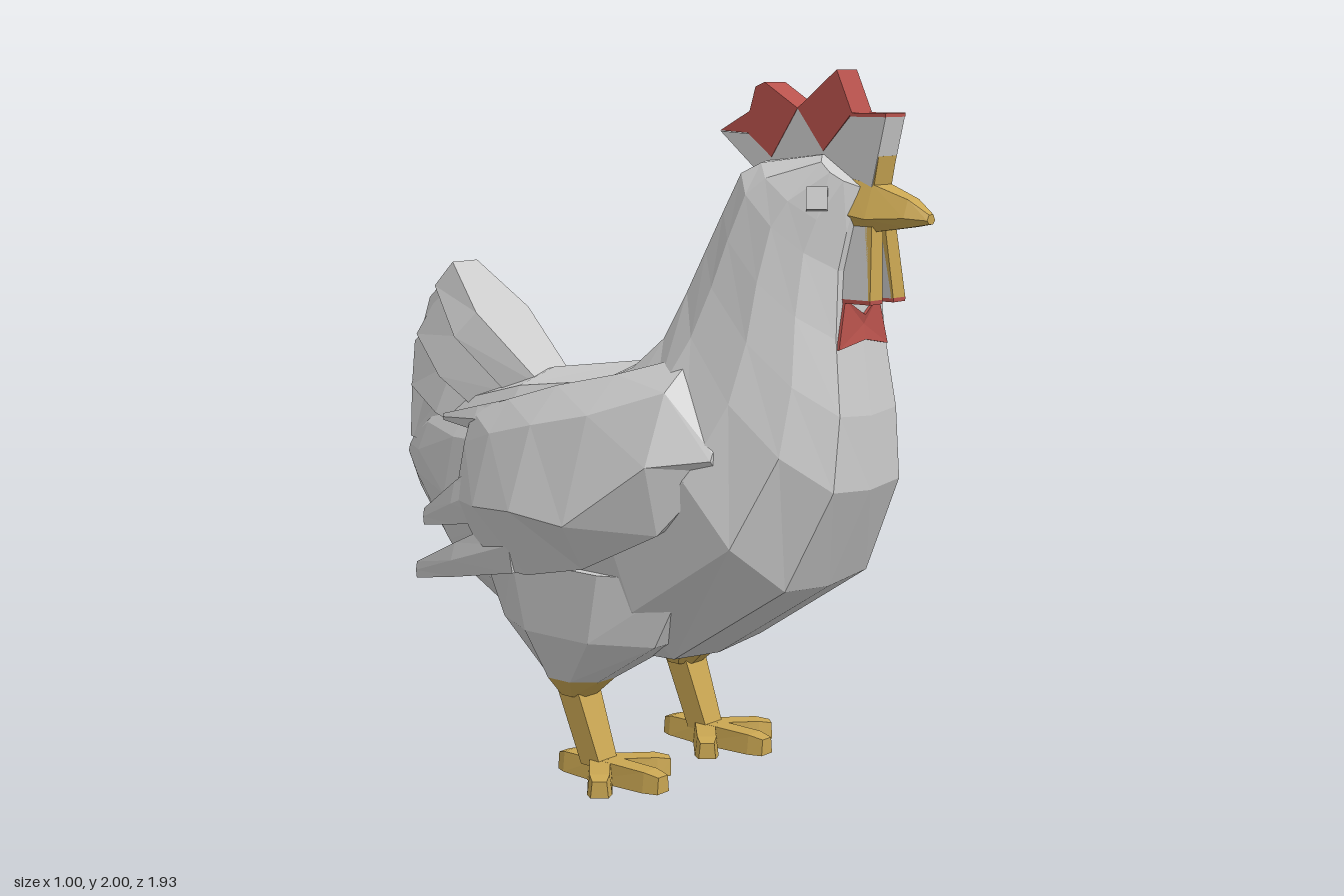
import * as THREE from 'three';

const GREY = 0xcccccc, GOLD = 0xc9a652, RED = 0xb8524c;
const mat = (color) => new THREE.MeshStandardMaterial({ color, flatShading: true, side: THREE.DoubleSide });

function addMesh(parent, name, geo, color) {
  const mesh = new THREE.Mesh(geo, mat(color));
  mesh.name = name;
  parent.add(mesh);
  return mesh;
}

// Closed, capped skin through rings of [x, y, z] points, always wound outwards
function loft(rings) {
  const n = rings[0].length, pos = rings.flat(2), tris = [];
  rings.slice(1).forEach((_, r) => {
    for (let i = 0; i < n; i++) {
      const a = r * n + i, b = r * n + (i + 1) % n;
      tris.push([a, b, a + n], [b, b + n, a + n]);
    }
  });
  [0, rings.length - 1].forEach((r, end) => {
    const c = pos.length / 3;
    for (let k = 0; k < 3; k++) pos.push(rings[r].reduce((s, p) => s + p[k], 0) / n);
    for (let i = 0; i < n; i++) {
      const a = r * n + i, b = r * n + (i + 1) % n;
      tris.push(end ? [a, b, c] : [b, a, c]);
    }
  });
  const v = (i) => new THREE.Vector3().fromArray(pos, i * 3);
  const volume = tris.reduce((s, [a, b, c]) => s + v(a).dot(v(b).cross(v(c))), 0);
  if (volume < 0) tris.forEach((t) => t.reverse());
  const geo = new THREE.BufferGeometry();
  geo.setAttribute('position', new THREE.Float32BufferAttribute(pos, 3));
  geo.setIndex(tris.flat());
  const flat = geo.toNonIndexed();
  flat.computeVertexNormals();
  return flat;
}

// Slab with a [z, y] outline, centred on x = 0
function slab(outline, width) {
  const shape = new THREE.Shape(outline.map(([z, y]) => new THREE.Vector2(z, y)));
  return new THREE.ExtrudeGeometry(shape, { depth: width, bevelEnabled: false })
    .translate(0, 0, -width / 2).rotateY(-Math.PI / 2);
}

const flip = (rings, s) => rings.map((r) => r.map(([x, y, z]) => [x * s, y, z]));
const rect = (x0, x1, z0, z1, y) => [[x0, y, z0], [x1, y, z0], [x1, y, z1], [x0, y, z1]];
const oval = (cx, y, cz, rx, rz) => Array.from({ length: 8 }, (_, i) => {
  const a = (i + 0.5) * Math.PI / 4;
  return [cx + rx * Math.cos(a), y, cz + rz * Math.sin(a)];
});

// Body, neck and head: each ring spans a back point and a belly point
function bodyRing([tz, ty, bz, by, w]) {
  const half = [[0.02, 0.5], [0.2, 0.86], [0.45, 1], [0.75, 0.86], [0.95, 0.48]];
  const pt = (u, x) => [x * w, by + (ty - by) * u, bz + (tz - bz) * u];
  return [pt(0, 0), ...half.map(([u, x]) => pt(u, x)), pt(1, 0),
    ...half.slice().reverse().map(([u, x]) => pt(u, -x))];
}

function addTail(g) {
  // base z, y; tip z, y; half thickness; middle and tip half widths
  const feathers = [
    [-0.36, 1.04, -0.755, 1.385, 0.05, 0.14, 0.065],
    [-0.42, 0.98, -0.83, 1.255, 0.075, 0.13, 0.065],
    [-0.45, 0.95, -0.875, 1.11, 0.085, 0.12, 0.06],
    [-0.5, 0.9, -0.905, 0.96, 0.09, 0.105, 0.05],
  ];
  for (const [bz, by, tz, ty, t, wm, wt] of feathers) {
    const len = Math.hypot(tz - bz, ty - by), nz = (ty - by) / len, ny = -(tz - bz) / len;
    const section = (f, w) => [[-1, -1], [-0.8, 1], [0.8, 1], [1, -1]].map(([x, s]) =>
      [x * w, by + (ty - by) * f + ny * t * s, bz + (tz - bz) * f + nz * t * s]);
    addMesh(g, 'tailFeather', loft([section(0, 0.09), section(0.6, wm), section(1, wt)]), GREY);
  }
  // Core that closes the gaps of the fan
  addMesh(g, 'tailCore', slab([[-0.4, 1.0], [-0.74, 1.37], [-0.785, 1.34], [-0.82, 1.31], [-0.865, 1.19],
    [-0.89, 1.17], [-0.905, 1.04], [-0.915, 0.87], [-0.6, 0.8]], 0.11), GREY);
}

function addWing(g, s) {
  // z; then x, y for upper edge, shoulder, ridge and lower edge
  const rows = [
    [0.52, 0.3, 1.02, 0.33, 1.01, 0.34, 0.99, 0.31, 0.96],
    [0.38, 0.24, 1.25, 0.36, 1.16, 0.44, 0.97, 0.39, 0.78],
    [0.14, 0.28, 1.18, 0.4, 1.08, 0.5, 0.79, 0.42, 0.66],
    [-0.08, 0.28, 1.13, 0.39, 1.03, 0.48, 0.8, 0.41, 0.61],
    [-0.28, 0.27, 1.07, 0.35, 0.98, 0.42, 0.78, 0.36, 0.6],
    [-0.44, 0.255, 1.02, 0.29, 0.93, 0.33, 0.77, 0.29, 0.73],
  ];
  const rings = rows.map(([z, ax, ay, bx, by, cx, cy, dx, dy]) =>
    [[ax, ay, z], [bx, by, z], [cx, cy, z], [dx, dy, z], [dx - 0.12, dy + 0.03, z], [ax - 0.06, ay - 0.03, z]]);
  addMesh(g, 'wing', loft(flip(rings, s)), GREY);

  // root z, x, top and bottom y; tip z, x, top and bottom y
  const feathers = [
    [-0.2, 0.285, 1.09, 0.95, -0.58, 0.24, 0.995, 0.975],
    [-0.2, 0.4, 0.96, 0.74, -0.66, 0.25, 0.7, 0.65],
    [-0.14, 0.42, 0.77, 0.605, -0.7, 0.245, 0.53, 0.48],
  ];
  for (const [z0, x0, t0, b0, z1, x1, t1, b1] of feathers) {
    const cut = (z, x, t, b, d) => [[x - d * 0.3, t, z], [x, (t + b) / 2, z], [x - d * 0.2, b, z], [x - d, b, z], [x - d, t, z]];
    const f = 0.55, m = (a, b) => a + (b - a) * f;
    addMesh(g, 'wingFeather', loft(flip([cut(z0, x0, t0, b0, 0.08),
      cut(m(z0, z1), m(x0, x1) + 0.02, m(t0, t1), m(b0, b1), 0.06), cut(z1, x1, t1, b1, 0.015)], s)), GREY);
  }
}

function addLeg(g, s) {
  addMesh(g, 'thigh', loft(flip([oval(0.21, 0.64, 0, 0.19, 0.42), oval(0.225, 0.44, 0, 0.165, 0.31),
    oval(0.24, 0.3, -0.035, 0.095, 0.11)], s)), GREY);
  addMesh(g, 'legCuff', loft(flip([oval(0.24, 0.3, -0.035, 0.095, 0.11), oval(0.235, 0.245, -0.04, 0.06, 0.05)], s)), GOLD);
  addMesh(g, 'shank', loft(flip([rect(0.19, 0.285, -0.09, -0.01, 0.28),
    rect(0.2, 0.275, 0, 0.075, 0.05)], s)), GOLD);
  // Toes: angle from straight ahead, length
  for (const [angle, len] of [[0, 0.235], [0.85, 0.2], [-0.85, 0.2], [Math.PI, 0.14]]) {
    const geo = loft([
      [[-0.035, 0.005, -0.02], [0.035, 0.005, -0.02], [0.03, 0.07, -0.02], [-0.03, 0.07, -0.02]],
      [[-0.035, 0.01, len * 0.8], [0.035, 0.01, len * 0.8], [0.028, 0.068, len * 0.8], [-0.028, 0.068, len * 0.8]],
      [[-0.025, 0.012, len], [0.025, 0.012, len], [0.02, 0.06, len], [-0.02, 0.06, len]],
    ]);
    const toe = addMesh(g, 'toe', geo, GOLD);
    toe.position.set(0.235 * s, 0, 0.037);
    toe.rotation.y = angle;
  }
}

function addHead(g) {
  // Comb: grey base with red points
  addMesh(g, 'combBase', slab([[0.85, 1.882], [0.74, 1.882], [0.655, 1.79], [0.57, 1.9], [0.485, 1.77],
    [0.405, 1.83], [0.31, 1.835], [0.45, 1.72], [0.6, 1.72], [0.8, 1.66]], 0.086), GREY);
  addMesh(g, 'combFrontEdge', slab([[0.85, 1.89], [0.74, 1.89], [0.74, 1.88], [0.85, 1.88]], 0.09), RED);
  addMesh(g, 'combPoint', slab([[0.745, 1.89], [0.695, 2], [0.57, 1.9], [0.655, 1.79]], 0.09), RED);
  addMesh(g, 'combPoint', slab([[0.57, 1.9], [0.46, 1.967], [0.43, 1.955], [0.41, 1.89], [0.31, 1.837],
    [0.405, 1.832], [0.485, 1.77]], 0.09), RED);

  // Beak and the ridge that runs up into the comb
  const beakRing = (z, xt, yt, xm, ym, yb) =>
    [[-xt, yt, z], [xt, yt, z], [xm, ym, z], [xm * 0.5, yb, z], [-xm * 0.5, yb, z], [-xm, ym, z]];
  addMesh(g, 'beak', loft([beakRing(0.75, 0.045, 1.72, 0.08, 1.63, 1.58), beakRing(0.81, 0.04, 1.708, 0.075, 1.62, 1.585),
    beakRing(0.91, 0.025, 1.672, 0.045, 1.625, 1.6), beakRing(0.965, 0.01, 1.635, 0.018, 1.62, 1.61)]), GOLD);
  addMesh(g, 'beakRidge', slab([[0.828, 1.78], [0.812, 1.69], [0.79, 1.69], [0.815, 1.78]], 0.08), GOLD);

  for (const s of [1, -1]) {
    // Wattles with a gold front and a red underside
    const wattle = (zb0, zb1, zt0, zt1) => loft(flip([rect(0.025, 0.08, zb0, zb1, 1.41),
      rect(0.005, 0.055, zt0, zt1, 1.6)], s));
    addMesh(g, 'wattle', wattle(0.73, 0.83, 0.74, 0.805), GREY);
    addMesh(g, 'wattleFront', wattle(0.828, 0.836, 0.8, 0.82), GOLD);
    addMesh(g, 'wattleTip', loft(flip([rect(0.025, 0.08, 0.73, 0.836, 1.4), rect(0.025, 0.08, 0.73, 0.836, 1.411)], s)), RED);
    // Eye
    const eye = addMesh(g, 'eye', new THREE.BoxGeometry(0.035, 0.06, 0.055), GREY);
    eye.position.set(0.13 * s, 1.67, 0.7);
    eye.rotation.set(0, -0.6 * s, 0.25 * s);
  }
}

export function createModel() {
  const g = new THREE.Group();
  g.name = 'hen';

  // back z, y; belly z, y; half width
  const rows = [
    [-0.84, 0.96, -0.965, 0.81, 0.04],
    [-0.78, 1.0, -0.88, 0.71, 0.1],
    [-0.58, 1.06, -0.62, 0.49, 0.22],
    [-0.35, 1.13, -0.28, 0.35, 0.32],
    [0, 1.18, 0, 0.36, 0.38],
    [0.11, 1.23, 0.28, 0.37, 0.39],
    [0.2, 1.31, 0.66, 0.62, 0.37],
    [0.25, 1.43, 0.79, 0.9, 0.3],
    [0.3, 1.54, 0.79, 1.1, 0.255],
    [0.35, 1.64, 0.76, 1.3, 0.22],
    [0.4, 1.74, 0.75, 1.48, 0.185],
    [0.46, 1.765, 0.765, 1.58, 0.16],
    [0.65, 1.785, 0.78, 1.7, 0.105],
  ];
  addMesh(g, 'body', loft(rows.map(bodyRing)), GREY);

  // Red throat patch, notched at the top
  addMesh(g, 'throatPatch', loft([0.735, 0.766].map((z) => [[-0.11, 1.28, z - 0.004], [0, 1.3, z + 0.003],
    [0.11, 1.28, z - 0.004], [0.075, 1.41, z - 0.011], [0, 1.365, z], [-0.075, 1.41, z - 0.011]])), RED);

  addTail(g);
  addHead(g);
  for (const s of [1, -1]) {
    addWing(g, s);
    addLeg(g, s);
  }
  return g;
}
